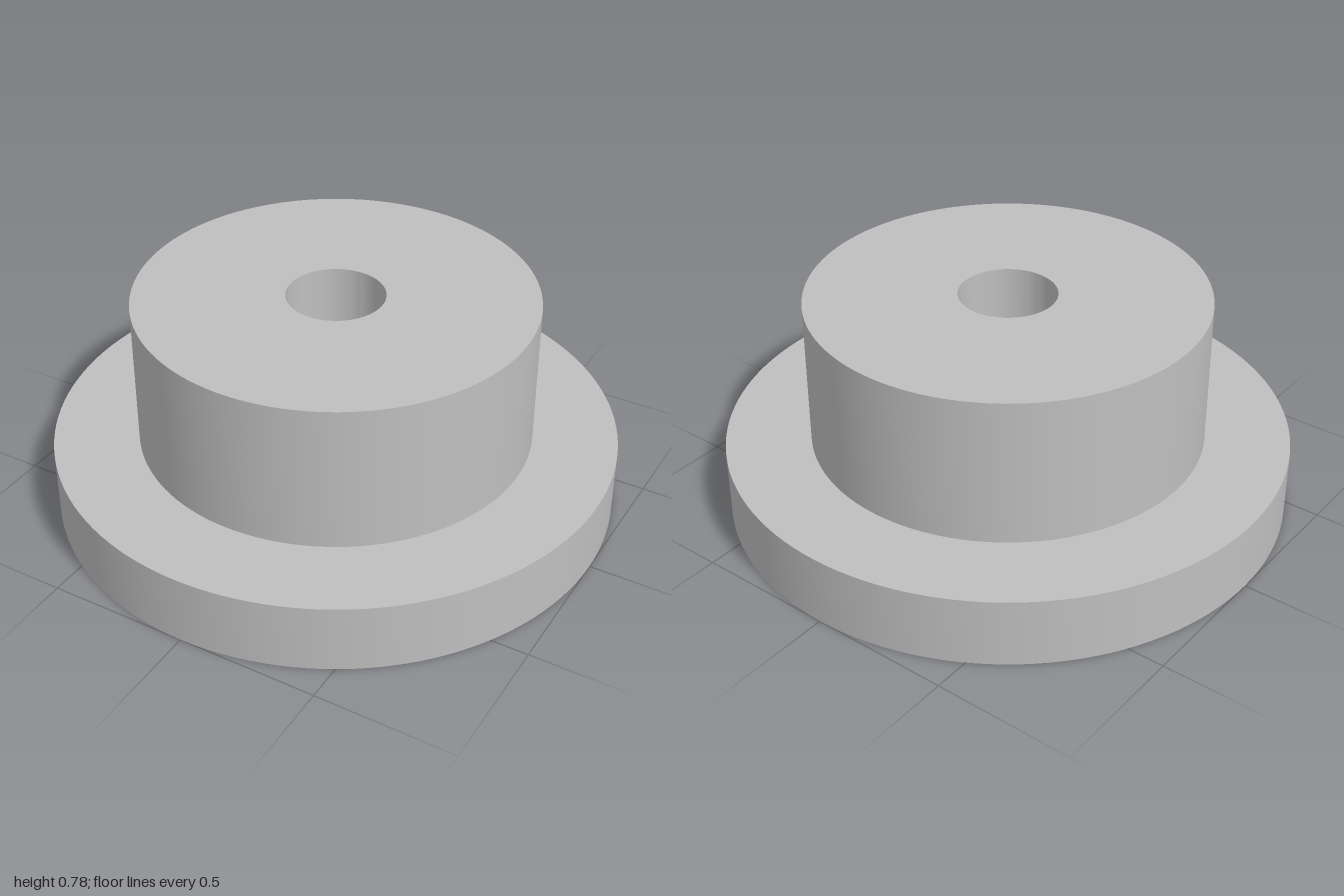
import * as THREE from 'three';
import { toCreasedNormals } from 'three/addons/utils/BufferGeometryUtils.js';

const BORE = 0.172, HUB = 0.7, FLANGE = 1;
const STEP_Y = 0.25, TOP_Y = 0.78;

export function createModel() {
  const group = new THREE.Group();
  group.name = 'flangedBushing';

  const metal = new THREE.MeshStandardMaterial({ color: 0xbfbfbf });
  metal.name = 'plain grey';

  // Revolve a [radius, height] profile, keeping its corners sharp
  function turned(name, profile) {
    const points = profile.map(([r, y]) => new THREE.Vector2(r, y));
    const geometry = toCreasedNormals(new THREE.LatheGeometry(points, 128), 0.6);
    const mesh = new THREE.Mesh(geometry, metal);
    mesh.name = name;
    group.add(mesh);
  }

  // Wide base disc: underside, rim and upper ledge
  turned('flange', [[BORE, 0], [FLANGE, 0], [FLANGE, STEP_Y], [HUB, STEP_Y]]);
  // Raised cylinder with its flat top
  turned('hub', [[HUB, STEP_Y], [HUB, TOP_Y], [BORE, TOP_Y]]);
  // Wall of the through hole, facing the axis
  turned('bore', [[BORE, TOP_Y], [BORE, 0]]);

  return group;
}
